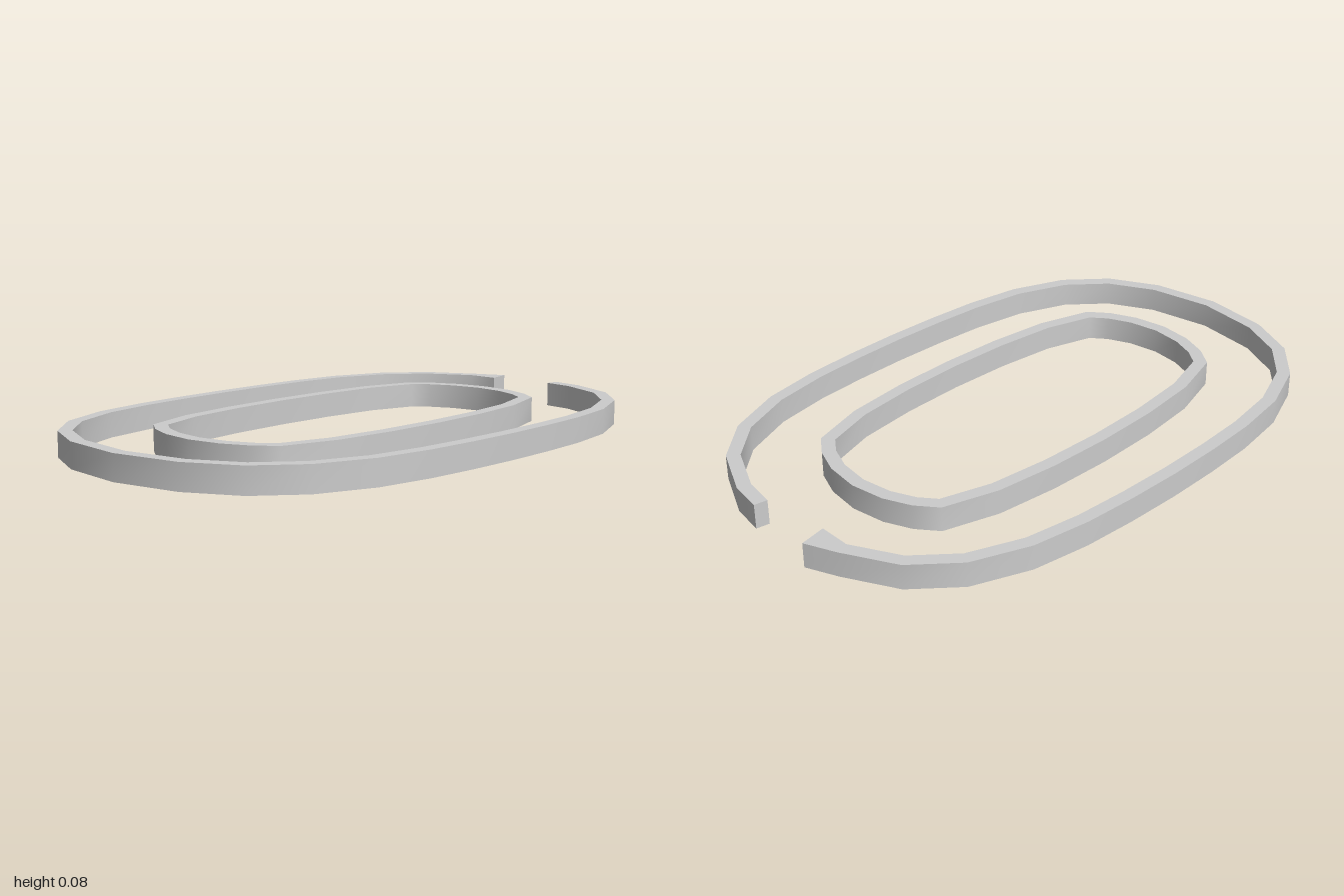
import * as THREE from 'three';

const HEIGHT = 0.083, WIDTH = 0.044, Z0 = -0.01;

// Mirror one quarter of an oval centreline, running from the +x side to the +z tip
function mirrorQuarter(quarter) {
  const half = [...quarter, ...quarter.slice(0, -1).reverse().map(([x, z]) => [-x, z])];
  const all = [...half, ...half.slice(1, -1).reverse().map(([x, z]) => [x, -z])];
  return all.map(([x, z]) => new THREE.Vector2(x, z + Z0));
}

// Sweep a rectangular section along a polyline: smooth along the path, sharp at the four edges
function band(path, closed) {
  const n = path.length;
  const rings = path.map((p, i) => {
    const prev = closed ? path[(i + n - 1) % n] : path[Math.max(i - 1, 0)];
    const next = closed ? path[(i + 1) % n] : path[Math.min(i + 1, n - 1)];
    const a = p.clone().sub(prev).normalize(), b = next.clone().sub(p).normalize();
    const t = a.clone().add(b).normalize();
    const miter = Math.max(t.dot(b), 0.5);
    const off = new THREE.Vector2(t.y, -t.x).multiplyScalar(WIDTH / 2 / miter);
    const o = p.clone().add(off), q = p.clone().sub(off);
    return [[o.x, 0, o.y], [o.x, HEIGHT, o.y], [q.x, HEIGHT, q.y], [q.x, 0, q.y]];
  });
  const pos = [], idx = [];
  for (let s = 0; s < 4; s++) {
    const base = pos.length / 3;
    rings.forEach(r => pos.push(...r[s], ...r[(s + 1) % 4]));
    for (let i = 0; i < (closed ? n : n - 1); i++) {
      const a = base + 2 * i, b = base + 2 * ((i + 1) % n);
      idx.push(a, a + 1, b, b, a + 1, b + 1);
    }
  }
  // End caps of an open band
  if (!closed) {
    [rings[0], [...rings[n - 1]].reverse()].forEach(r => {
      const base = pos.length / 3;
      pos.push(...r.flat());
      idx.push(base, base + 2, base + 1, base, base + 3, base + 2);
    });
  }
  const g = new THREE.BufferGeometry();
  g.setAttribute('position', new THREE.Float32BufferAttribute(pos, 3));
  g.setIndex(idx);
  g.computeVertexNormals();
  return g;
}

export function createModel() {
  const group = new THREE.Group();
  const material = new THREE.MeshStandardMaterial({ color: 0xcccccc, side: THREE.DoubleSide });
  const add = (name, geometry) => {
    const mesh = new THREE.Mesh(geometry, material);
    mesh.name = name;
    group.add(mesh);
  };

  // Closed inner oval
  add('innerRing', band(mirrorQuarter([
    [0.34, 0], [0.333, 0.22], [0.31, 0.43], [0.257, 0.604],
    [0.196, 0.65], [0.11, 0.685], [0, 0.70],
  ]), true));

  // Outer oval, open at the back: start just right of the gap and run round the front
  const oval = mirrorQuarter([
    [0.622, 0], [0.618, 0.19], [0.607, 0.37], [0.577, 0.56], [0.505, 0.74],
    [0.39, 0.868], [0.226, 0.949], [0, 0.983],
  ]);
  const back = oval.reduce((m, p, i) => (p.y < oval[m].y ? i : m), 0);
  const open = [...oval.slice(back + 1), ...oval.slice(0, back)];
  open.unshift(new THREE.Vector2(0.12, -0.978));
  open.push(new THREE.Vector2(-0.12, -0.978));
  add('outerRing', band(open, false));

  return group;
}
